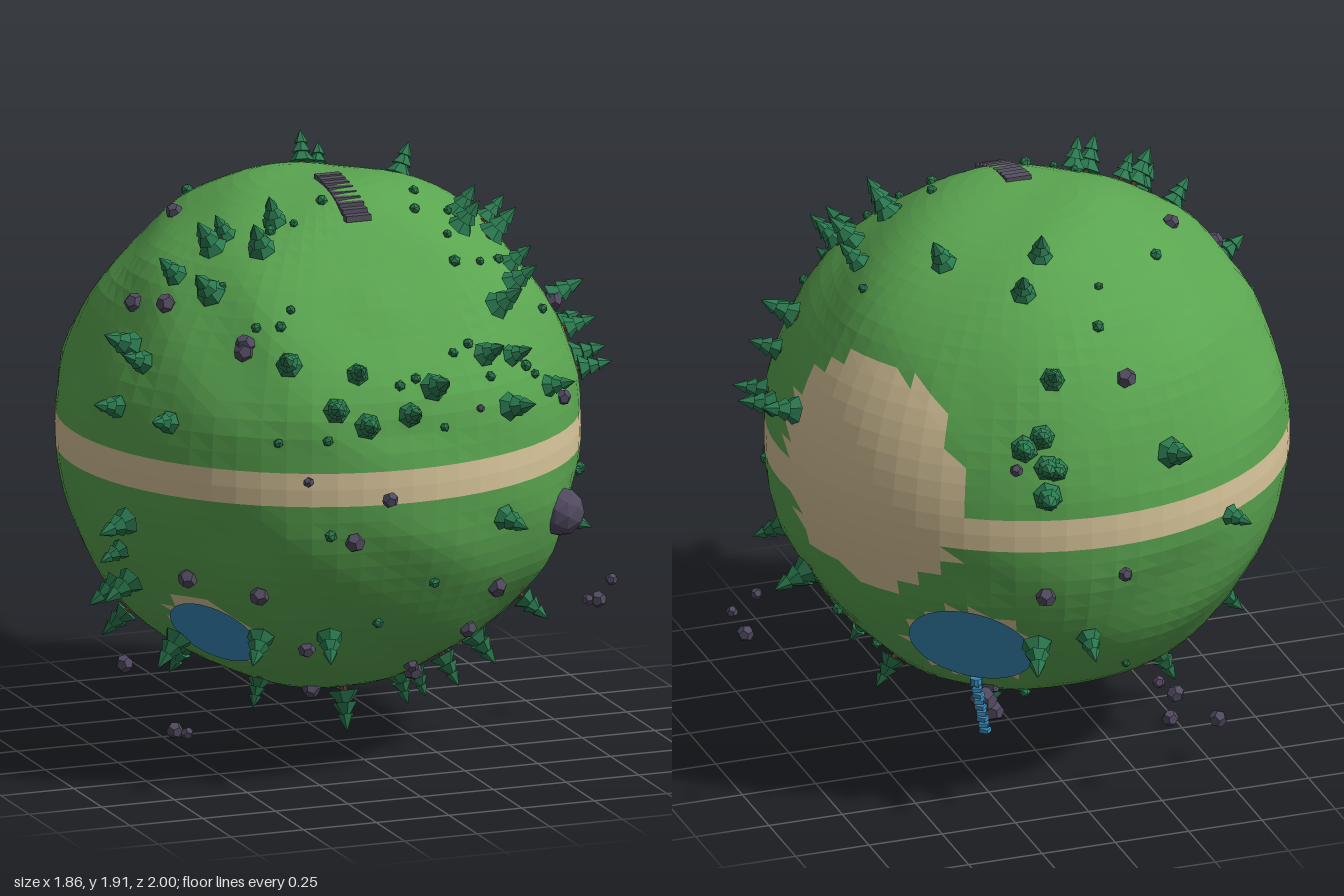
import * as THREE from 'three';

const R = 0.845;
const CENTER = new THREE.Vector3(-0.045, 1.05, -0.045);
const UP = new THREE.Vector3(0, 1, 0);
const rad = THREE.MathUtils.degToRad;

// unit direction from azimuth (from +z towards +x) and elevation, in degrees
function polar(az, el) {
  const a = rad(az), e = rad(el);
  return new THREE.Vector3(Math.sin(a) * Math.cos(e), Math.sin(e), Math.cos(a) * Math.cos(e));
}

// direction of a point placed at (u, v) on the disc of the hemisphere facing az, el
function onDisc(az, el, u, v) {
  const len = Math.hypot(u, v), k = len > 0.965 ? 0.965 / len : 1;
  u *= k; v *= k;
  const toward = polar(az, el);
  const right = new THREE.Vector3(Math.cos(rad(az)), 0, -Math.sin(rad(az)));
  const up = toward.clone().cross(right);
  return toward.multiplyScalar(Math.sqrt(1 - u * u - v * v))
    .addScaledVector(right, u).addScaledVector(up, v).normalize();
}

const VALLEY = polar(-1, 43);
const CLEARING = polar(119.5, 7.6);
const PONDS = [
  { dir: new THREE.Vector3(0.475, -0.566, -0.673).normalize(), angle: rad(14) },
  { dir: new THREE.Vector3(-0.6, -0.66, 0.45).normalize(), angle: rad(10.6) },
];

// ground height along a direction: gentle bumps, a shallow valley, flat pond beds
function groundRadius(d) {
  const valley = d.angleTo(VALLEY), clearing = d.angleTo(CLEARING);
  const rough = THREE.MathUtils.smoothstep(Math.abs(d.y), 0.06, 0.25)
    * THREE.MathUtils.smoothstep(valley, 0.35, 0.6) * THREE.MathUtils.smoothstep(clearing, 0.42, 0.6);
  const bump = Math.sin(7 * d.x + 3 * d.y + 1) * Math.sin(6 * d.z - 4 * d.y)
    + 0.6 * Math.sin(11 * d.y + 5 * d.x) * Math.sin(9 * d.z + 6 * d.x + 2);
  let r = R + 0.011 * rough * bump - 0.05 * (1 - THREE.MathUtils.smoothstep(valley, 0.12, 0.52));
  for (const p of PONDS) {
    const a = d.angleTo(p.dir);
    if (a < p.angle * 1.2) r = Math.min(r, R * Math.cos(p.angle) / Math.cos(a));
  }
  return r;
}

const isSand = (d) => {
  if (Math.abs(d.y) < 0.066) return true;
  const wobble = 0.02 * Math.sin(9 * d.y + 14 * d.z);
  return d.angleTo(CLEARING) < rad(26.3) + wobble || PONDS.some((p) => d.angleTo(p.dir) < p.angle * 1.03);
};

// globe split face by face into grass and sand
function globeParts() {
  const src = new THREE.SphereGeometry(1, 64, 48).toNonIndexed().getAttribute('position');
  const parts = { grass: [], sand: [] };
  const c = new THREE.Vector3();
  for (let i = 0; i < src.count; i += 3) {
    const tri = [0, 1, 2].map((k) => new THREE.Vector3().fromBufferAttribute(src, i + k).normalize());
    c.copy(tri[0]).add(tri[1]).add(tri[2]).normalize();
    const list = isSand(c) ? parts.sand : parts.grass;
    for (const v of tri) list.push(...v.clone().multiplyScalar(groundRadius(v)).add(CENTER).toArray());
  }
  return Object.entries(parts).map(([name, list]) => {
    const g = new THREE.BufferGeometry();
    g.setAttribute('position', new THREE.Float32BufferAttribute(list, 3));
    g.computeVertexNormals();
    return [name, g];
  });
}

// [u, v] places on the facing discs
const FRONT = [0, 0], RIGHT = [90, 0], TOP = [0, 90], BELOW = [135, -25], BACK = [-135, 25];
const TREES = [
  [FRONT, [[-.42, .46], [-.18, .43], [-.28, .3], [-.17, .24], [0, .27], [.11, .36], [.35, .44], [.46, .58],
    [.48, .41], [.42, .24], [.56, .62], [.65, .26], [.62, .77], [.6, .67], [.84, .48], [1, .2], [.47, .86], [.43, .82],
    [-.3, .9], [-.48, .85], [-.53, .8], [-.67, .7], [-.6, .67], [-.39, .82], [-.86, .45], [-.92, .23], [-.9, -.33],
    [-.87, -.47], [-.73, -.77], [-.47, -.63], [-.24, -.63], [.4, -.18], [.67, -.64], [0, -1], [.55, -.84],
    [.93, -.4], [-.35, -.93], [.3, -.95]]],
  [RIGHT, [[-.35, -.86], [.14, -.8], [-.16, -.98], [.33, -.95], [.1, -.4], [.87, -.52], [.98, .17], [.93, .4],
    [-.11, .2], [-.26, .35]]],
  [TOP, [[.19, .8], [.33, .88], [.23, .97], [-.24, .95], [.1, .42], [.21, .54], [.43, .27], [.65, -.07],
    [.97, .1], [-.84, -.36]]],
  [BELOW, [[.57, -.14], [.475, .6], [1, .05], [.52, -.9]]],
  [BACK, [[1, -.38], [.7, -.72], [.37, -.9], [1, .12]]],
];
const BUSHES = [
  [FRONT, [[-.5, .58], [-.37, .65], [-.42, .59], [-.49, .18], [-.32, .19], [-.02, .38], [.05, .4], [.14, .21],
    [.23, .47], [.3, .49], [.35, .82], [.34, .75], [.45, .72], [.55, .36], [.59, .32], [.88, -.16], [-.31, -.18],
    [.12, -.41], [-.07, -.58], [.52, .59], [-.1, .95], [-.24, .9], [.36, .36], [-.56, .7]]],
  [RIGHT, [[-.4, -.16], [-.1, -.55], [.1, .72], [.05, -.62], [-.5, .5], [-.45, .7]]],
  [TOP, [[-.36, .42], [-.08, .57], [-.03, .7], [-.27, -.22], [-.33, -.35], [.3, -.22], [.42, -.28], [.25, -.36]]],
  [BELOW, [[-.4, -.5], [.2, -.6], [.6, -.45]]],
];
const ROCKS = [
  [FRONT, [[-.56, .5], [-.73, .61], [.74, .19], [-.22, -.21], [-.52, -.44], [-.3, -.69], [.35, -.67], [.18, -.84],
    [-.74, -.41], [-.13, -.97]]],
  [RIGHT, [[-.29, .47], [-.76, -.49], [-.33, -.96], [.97, -.27]]],
  [TOP, [[-.1, .83], [-.52, .16], [-.8, -.14], [-.55, -.65]]],
  [BELOW, [[.72, .11]]],
];
// x, y, z, radius of the pebbles drifting around the globe
const DRIFTING = [
  [.77, .46, .25, .02], [.87, .41, .08, .028], [.905, .48, .11, .02], [-.51, .17, -.56, .03], [-.5, .07, -.03, .021],
  [-.47, .03, -.22, .028], [-.19, 1.06, .97, .027], [-.45, 1.13, .915, .018], [.14, 1.32, .92, .014],
  [.33, 1.36, -.98, .022], [-.3, .37, -.74, .03],
];

export function createModel() {
  const group = new THREE.Group();
  const material = (name, color) => {
    const m = new THREE.MeshStandardMaterial({ color, flatShading: true });
    m.name = name;
    return m;
  };
  const mats = {
    grass: material('grass green', 0x5aa550), sand: material('sand', 0xd8c59a),
    water: material('water blue', 0x3a8fc0), leaf: material('pine green', 0x2b7a50),
    rock: material('rock grey', 0x514a60), step: material('step grey', 0x544f5e),
    bark: material('bark brown', 0x5a3d28),
  };
  let seed = 11;
  const rand = () => (seed = (seed * 16807) % 2147483647) / 2147483647;
  const add = (name, geo, mat, parent = group) => {
    const m = new THREE.Mesh(geo, mat);
    m.name = name;
    parent.add(m);
    return m;
  };
  // stand an object on the ground, pointing away from the centre
  const plant = (obj, dir, lift = 0) => {
    obj.position.copy(CENTER).addScaledVector(dir, groundRadius(dir) + lift);
    obj.quaternion.setFromUnitVectors(UP, dir);
    obj.rotateY(rand() * 6.28);
  };
  const scatter = (table, place) => table.forEach(([view, spots]) =>
    spots.forEach(([u, v]) => place(onDisc(...view, u, v))));

  for (const [name, geo] of globeParts()) add(name, geo, mats[name]);

  // ponds
  for (const p of PONDS) {
    const pond = add('pond', new THREE.CircleGeometry(R * Math.sin(p.angle), 40), mats.water);
    pond.position.copy(CENTER).addScaledVector(p.dir, R * Math.cos(p.angle) + 0.005);
    pond.quaternion.setFromUnitVectors(new THREE.Vector3(0, 0, 1), p.dir);
  }

  // pine trees: short trunk and three tiers
  const trunk = new THREE.CylinderGeometry(0.01, 0.013, 0.05, 5);
  const tiers = [[0.046, 0.06, 0.045], [0.036, 0.055, 0.076], [0.025, 0.05, 0.106]]
    .map(([r, h, y]) => new THREE.ConeGeometry(r, h, 6).translate(0, y, 0));
  scatter(TREES, (dir) => {
    const tree = new THREE.Group();
    tree.name = 'tree';
    add('trunk', trunk, mats.bark, tree);
    tiers.forEach((g, i) => { add('foliage', g, mats.leaf, tree).rotation.y = i * 0.5; });
    plant(tree, dir, -0.005);
    tree.scale.setScalar(0.8 + rand() * 0.35);
    group.add(tree);
  });

  // bushes and rocks
  const bush = new THREE.IcosahedronGeometry(0.018, 0);
  scatter(BUSHES, (dir) => {
    const b = add('bush', bush, mats.leaf);
    plant(b, dir, 0.006);
    b.scale.setScalar(0.8 + rand() * 0.4);
  });
  const stone = new THREE.DodecahedronGeometry(1, 0);
  scatter(ROCKS, (dir) => {
    const r = add('rock', stone, mats.rock);
    plant(r, dir, 0.006);
    r.scale.setScalar(0.024 + rand() * 0.012);
  });
  for (const [x, y, z, r] of DRIFTING) {
    const p = add('driftingRock', stone, mats.rock);
    p.position.set(x, y, z);
    p.rotation.set(rand() * 3, rand() * 3, 0);
    p.scale.setScalar(r);
  }
  const boulder = add('boulder', new THREE.IcosahedronGeometry(0.08, 1), mats.rock);
  boulder.position.set(0.58, 0.83, 0.49);

  // stairs over the top, leading down to the valley
  for (let i = 0; i < 9; i++) {
    const z = 0.045 + i * 0.0325, dz = z - CENTER.z;
    const step = add('step', new THREE.BoxGeometry(0.085, 0.02, 0.029), mats.step);
    step.position.set(CENTER.x, CENTER.y + Math.sqrt(R * R - dz * dz), z);
  }

  // waterfall spilling from the larger pond past a clump of rocks
  for (let i = 0; i < 9; i++) {
    const t = i / 8;
    const drop = add('waterfall', new THREE.BoxGeometry(0.03, 0.014, 0.03), mats.water);
    drop.position.set(0.29 - 0.02 * t, 0.39 - 0.155 * t, -0.49 - 0.03 * t);
    drop.rotation.y = 0.78 + (i % 2) * 0.3;
  }
  const spout = add('spout', new THREE.CylinderGeometry(0.02, 0.02, 0.02, 10), mats.water);
  spout.position.set(0.29, 0.4, -0.49);
  for (const [x, y, z, r] of [[.25, .31, -.45, .045], [.22, .27, -.46, .035], [.22, .35, -.43, .035]]) {
    const rock = add('waterfallRock', stone, mats.rock);
    rock.position.set(x, y, z);
    rock.scale.setScalar(r);
  }
  return group;
}
